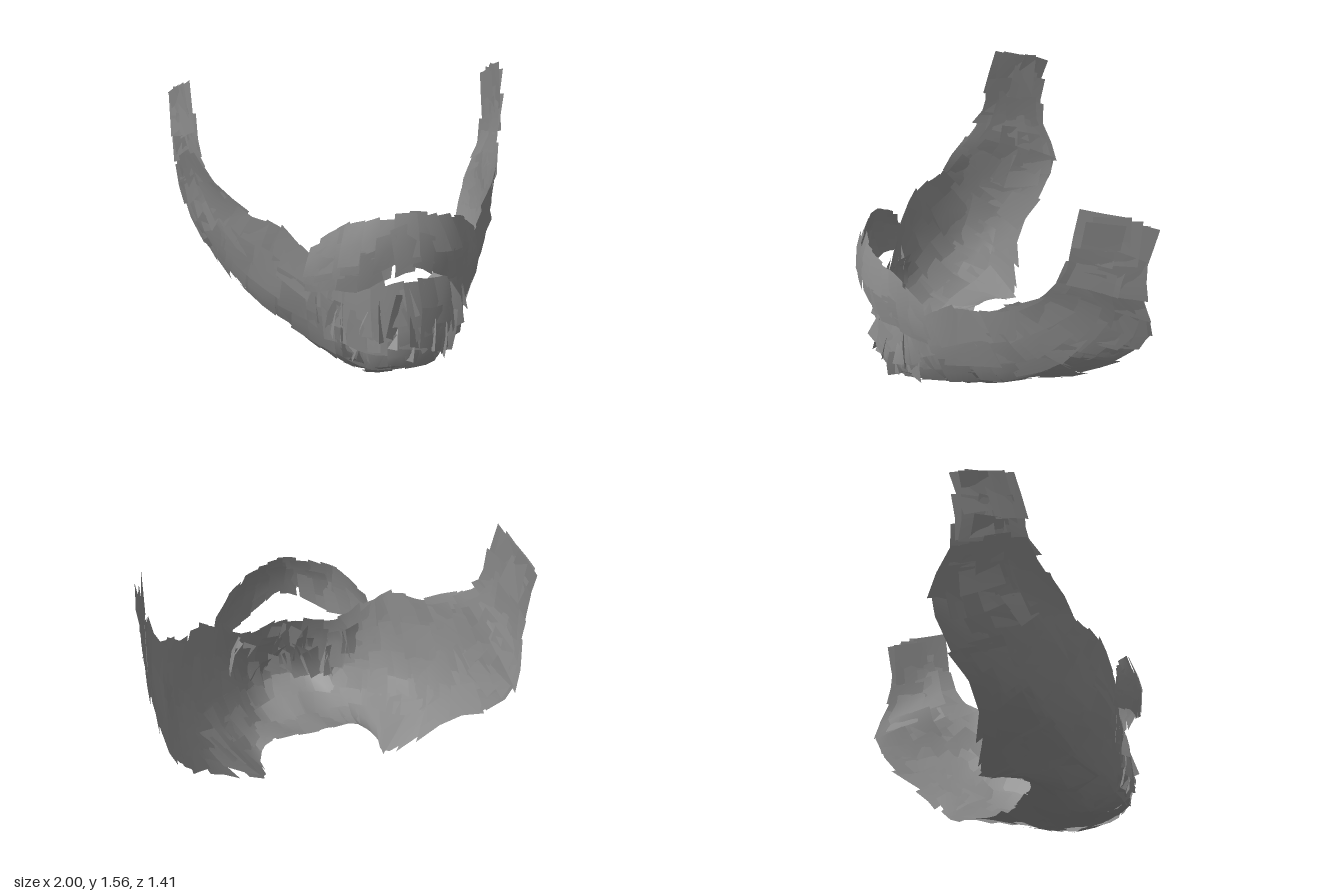
import * as THREE from 'three';
import { mergeGeometries } from 'three/addons/utils/BufferGeometryUtils.js';

const V = (p) => new THREE.Vector3(...p);
const CENTRE = new THREE.Vector3(0, 0.95, -0.3);

// Cross-sections of the left half, ear to chin; each runs from the face edge to the neck edge
const BEARD = [
  [[.95, 1.51, -.28], [.96, 1.49, -.37], [.97, 1.47, -.46], [.98, 1.45, -.55], [.985, 1.43, -.63]],
  [[.92, 1.2, -.23], [.94, 1.18, -.33], [.955, 1.15, -.42], [.965, 1.12, -.51], [.97, 1.09, -.6]],
  [[.86, 1.06, -.12], [.89, 1.0, -.3], [.91, .93, -.45], [.92, .87, -.57], [.925, .82, -.67]],
  [[.79, .97, 0], [.83, .83, -.15], [.855, .7, -.33], [.865, .66, -.48], [.86, .64, -.61]],
  [[.7, .89, .1], [.755, .7, -.02], [.76, .5, -.2], [.72, .42, -.29], [.67, .36, -.37]],
  [[.59, .87, .25], [.63, .6, .14], [.625, .35, 0], [.52, .24, -.18], [.39, .145, -.29]],
  [[.49, .77, .35], [.52, .52, .3], [.48, .26, .17], [.41, .155, .04], [.37, .14, -.15]],
  [[.36, .58, .44], [.39, .44, .43], [.36, .2, .36], [.29, .09, .18], [.28, .145, -.03]],
  [[.2, .52, .52], [.215, .38, .54], [.2, .13, .53], [.16, .035, .25], [.15, .145, -.03]],
  [[0, .55, .55], [0, .39, .585], [0, .13, .59], [0, .055, .27], [0, .135, -.03]],
];
const MOUSTACHE = [
  [[.45, .79, .4], [.47, .67, .4], [.47, .55, .37]],
  [[.35, .88, .5], [.38, .74, .51], [.39, .57, .48]],
  [[.19, .935, .6], [.22, .79, .63], [.23, .595, .605]],
  [[0, .965, .64], [0, .85, .67], [0, .71, .68]],
];

// Small seeded generator, giving values from -1 to 1
function jitterer(seed) {
  let s = seed;
  return () => {
    s = (s * 16807) % 2147483647;
    return (s / 2147483647) * 2 - 1;
  };
}

// Smooth surface through the sections and their mirror images, extended past its edges
function makeSurface(half) {
  const mirrored = half.slice(0, -1).reverse().map((row) => row.map(([x, y, z]) => [-x, y, z]));
  const rows = [...half, ...mirrored];
  const rails = half[0].map((_, j) => new THREE.CatmullRomCurve3(rows.map((r) => V(r[j]))));
  const inside = (u, v) => new THREE.CatmullRomCurve3(rails.map((c) => c.getPoint(u))).getPoint(v);
  const slope = (u, v) => {
    const e = 0.01;
    const u0 = Math.max(0, u - e), u1 = Math.min(1, u + e);
    const v0 = Math.max(0, v - e), v1 = Math.min(1, v + e);
    const du = inside(u1, v).sub(inside(u0, v)).divideScalar(u1 - u0);
    const dv = inside(u, v1).sub(inside(u, v0)).divideScalar(v1 - v0);
    const n = du.clone().cross(dv).normalize();
    return { du, dv, n };
  };
  const point = (u, v) => {
    const cu = THREE.MathUtils.clamp(u, 0, 1), cv = THREE.MathUtils.clamp(v, 0, 1);
    const p = inside(cu, cv);
    if (cu !== u || cv !== v) {
      const { du, dv } = slope(cu, cv);
      p.addScaledVector(du, u - cu).addScaledVector(dv, v - cv);
    }
    return p;
  };
  return { point, slope };
}

// One hair card lying along the surface: a 3 x 3 patch, turned, lifted and optionally twisted
function hairCard(surface, u, v, o) {
  const { du, dv, n } = surface.slope(u, v);
  const out = surface.point(u, v).sub(CENTRE);
  if (n.dot(out) < 0) n.negate();
  const lu = du.length(), lv = dv.length();
  const c = Math.cos(o.turn), s = Math.sin(o.turn);
  const geo = new THREE.PlaneGeometry(2, 2, 2, 2);
  const pos = geo.attributes.position;
  for (let i = 0; i < pos.count; i++) {
    const a = pos.getX(i) * o.halfU, b = pos.getY(i) * o.halfV;
    const flat = a * Math.cos(o.twist);
    const p = surface.point(u + (flat * c - b * s) / lu, v + (flat * s + b * c) / lv);
    p.addScaledVector(n, o.lift + o.flare * pos.getY(i) + a * Math.sin(o.twist));
    p.y = Math.max(p.y, 0);
    pos.setXYZ(i, p.x, p.y, p.z);
  }
  geo.computeVertexNormals();
  return geo;
}

// Overlapping rows of cards covering a whole surface
function coverWithCards(surface, cols, rows, seed, size) {
  const rnd = jitterer(seed);
  const cards = [];
  for (let i = 0; i < cols; i++) {
    const u = (i + 0.5) / cols;
    const { halfU, halfV } = size(Math.abs(u - 0.5) * 2);
    const width = surface.slope(u, 0.5).dv.length();
    const inset = Math.min(0.45, (halfV * 0.9) / width);
    for (let j = 0; j < rows; j++) {
      const v = THREE.MathUtils.lerp(inset, 1 - inset, j / (rows - 1));
      cards.push(hairCard(surface, u + (rnd() * 0.15) / cols, v + rnd() * 0.015, {
        halfU: halfU * (1 + 0.15 * rnd()),
        halfV: halfV * (1 + 0.15 * rnd()),
        turn: rnd() * 0.2,
        twist: rnd() * 0.1,
        lift: rnd() * 0.01,
        flare: 0.006 + 0.006 * rnd(),
      }));
    }
  }
  return mergeGeometries(cards);
}

// Twisted tufts poking in and out around the chin
function chinTufts(surface, count) {
  const rnd = jitterer(4711);
  const cards = [];
  for (let i = 0; i < count; i++) {
    const u = 0.5 + (((i + 0.5) / count) * 2 - 1) * 0.12;
    cards.push(hairCard(surface, u, 0.27 + rnd() * 0.14, {
      halfU: 0.05 + 0.02 * rnd(),
      halfV: 0.11 + 0.03 * rnd(),
      turn: rnd() * 0.35,
      twist: rnd() * 1.1,
      lift: -0.02 + rnd() * 0.025,
      flare: 0.02 + 0.02 * rnd(),
    }));
  }
  return mergeGeometries(cards);
}

export function createModel() {
  const group = new THREE.Group();
  group.name = 'beard';
  const hair = new THREE.MeshStandardMaterial({ color: 0x888888, side: THREE.DoubleSide });
  const add = (name, geo) => {
    const mesh = new THREE.Mesh(geo, hair);
    mesh.name = name;
    group.add(mesh);
  };

  // Sideburns, cheeks, jaw and under-chin in one sweep; cards narrow towards the chin
  const beard = makeSurface(BEARD);
  add('jawBeard', coverWithCards(beard, 38, 6, 91, (side) => ({
    halfU: THREE.MathUtils.lerp(0.065, 0.125, Math.min(1, side * 1.6)),
    halfV: THREE.MathUtils.lerp(0.125, 0.1, side),
  })));
  add('chinTufts', chinTufts(beard, 40));

  // Moustache arching over the mouth opening
  const moustache = makeSurface(MOUSTACHE);
  add('moustache', coverWithCards(moustache, 14, 3, 37, () => ({ halfU: 0.06, halfV: 0.1 })));
  return group;
}
